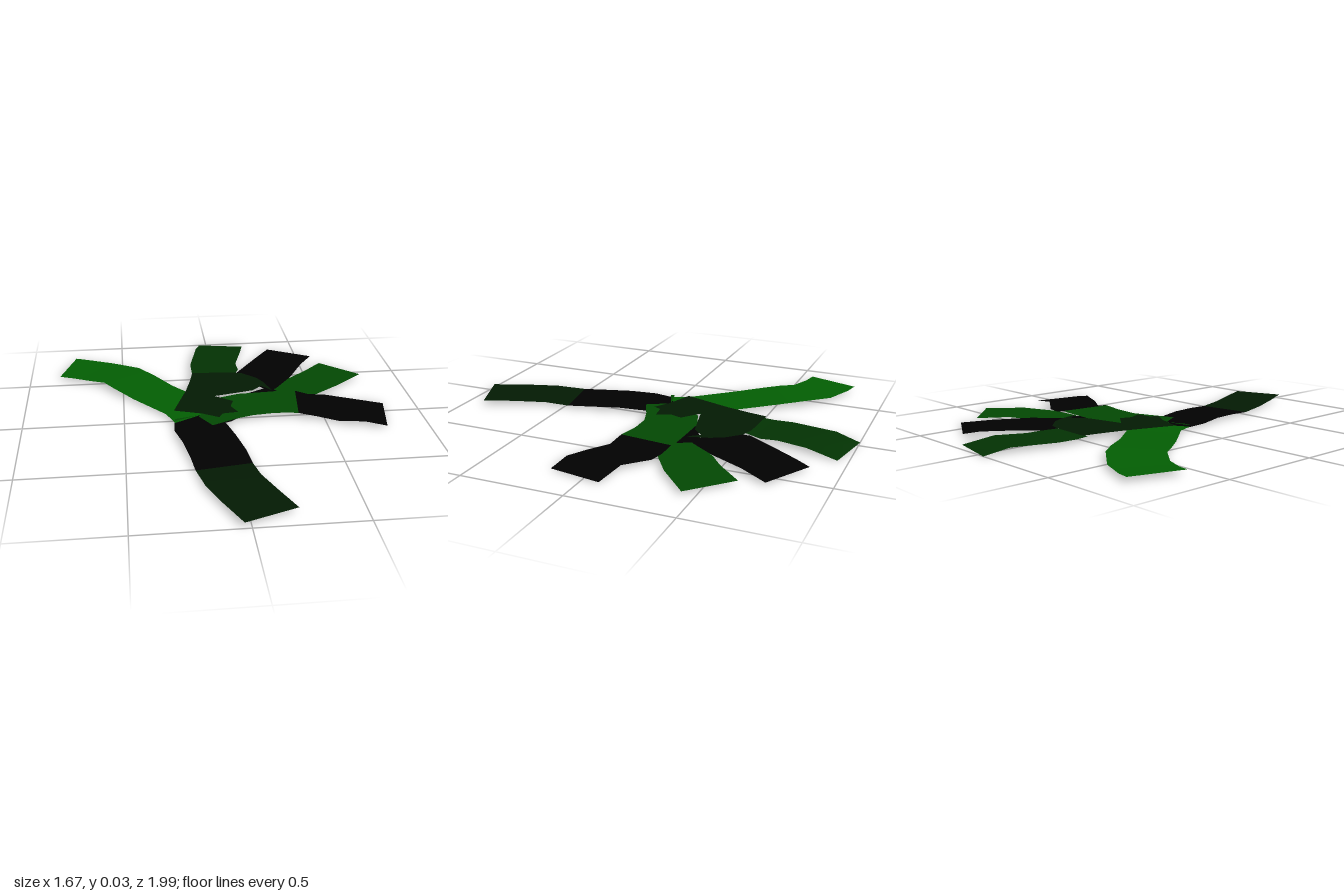
import * as THREE from 'three';

const paint = (name, color) => {
  const m = new THREE.MeshStandardMaterial({ color, side: THREE.DoubleSide });
  m.name = name;
  return m;
};

// Ribbon from cross-sections [leftX, leftZ, rightX, rightZ, y], walked outward
function ribbon(name, material, rows) {
  const pos = [], index = [];
  rows.forEach(([lx, lz, rx, rz, y], i) => {
    pos.push(lx, y, lz, rx, y, rz);
    if (i) {
      const a = 2 * (i - 1);
      index.push(a, a + 1, a + 2, a + 1, a + 3, a + 2);
    }
  });
  const g = new THREE.BufferGeometry();
  g.setAttribute('position', new THREE.Float32BufferAttribute(pos, 3));
  g.setIndex(index);
  g.computeVertexNormals();
  const mesh = new THREE.Mesh(g, material);
  mesh.name = name;
  return mesh;
}

// Flat patch from an outline of [x, z] corners
function patch(name, material, corners, y) {
  const shape = new THREE.Shape(corners.map(([x, z]) => new THREE.Vector2(x, -z)));
  const g = new THREE.ShapeGeometry(shape).rotateX(-Math.PI / 2).translate(0, y, 0);
  const mesh = new THREE.Mesh(g, material);
  mesh.name = name;
  return mesh;
}

export function createModel() {
  const black = paint('black', 0x010101);
  const darkest = paint('darkest green', 0x031a03);
  const dark = paint('dark green', 0x033203);
  const mid = paint('mid green', 0x034803);
  const bright = paint('bright green', 0x035e03);

  const model = new THREE.Group();
  model.name = 'ribbonLeaves';
  model.add(
    // Front strip, black then dark at the tip
    ribbon('frontStrip', black, [
      [-0.06, -0.04, -0.25, -0.01, 0.006],
      [0.0, 0.08, -0.26, 0.13, 0.014],
      [0.03, 0.22, -0.23, 0.26, 0.02],
      [0.06, 0.36, -0.205, 0.40, 0.015],
      [0.075, 0.48, -0.19, 0.52, 0.008],
    ]),
    ribbon('frontTip', darkest, [
      [0.075, 0.48, -0.19, 0.52, 0.008],
      [0.095, 0.60, -0.16, 0.67, 0.016],
      [0.15, 0.75, -0.1, 0.83, 0.02],
      [0.21, 0.90, -0.03, 0.99, 0.022],
    ]),
    // Black strip crossing beneath the hub
    ribbon('underStrip', black, [
      [-0.23, -0.05, -0.06, 0.08, 0.004],
      [-0.08, -0.15, 0.03, 0.04, 0.004],
      [0.10, -0.24, 0.2, -0.1, 0.008],
      [0.28, -0.33, 0.33, -0.23, 0.014],
    ]),
    // Long curved leaf
    ribbon('curvedLeaf', bright, [
      [-0.25, 0.04, -0.04, -0.08, 0.01],
      [-0.29, -0.06, -0.06, -0.18, 0.012],
      [-0.45, -0.25, -0.24, -0.40, 0.016],
      [-0.55, -0.38, -0.33, -0.53, 0.024],
      [-0.60, -0.45, -0.41, -0.63, 0.028],
      [-0.68, -0.51, -0.55, -0.74, 0.016],
      [-0.77, -0.55, -0.69, -0.80, 0.018],
      [-0.84, -0.57, -0.76, -0.82, 0.022],
    ]),
    // Back leaf
    ribbon('backLeaf', dark, [
      [-0.12, -0.49, 0.11, -0.49, 0.022],
      [-0.12, -0.56, 0.14, -0.57, 0.018],
      [-0.12, -0.66, 0.135, -0.65, 0.02],
      [-0.07, -0.88, 0.18, -0.80, 0.025],
      [-0.04, -1.0, 0.21, -0.95, 0],
    ]),
    // Back corner leaf
    ribbon('backCornerLeaf', black, [
      [0.12, -0.46, 0.27, -0.27, 0.018],
      [0.12, -0.52, 0.31, -0.30, 0.016],
      [0.22, -0.66, 0.41, -0.43, 0.02],
      [0.31, -0.79, 0.50, -0.60, 0.02],
      [0.35, -0.86, 0.58, -0.73, 0.012],
    ]),
    // Side corner leaf
    ribbon('sideCornerLeaf', mid, [
      [0.28, -0.29, 0.33, -0.20, 0.012],
      [0.40, -0.43, 0.50, -0.205, 0.012],
      [0.50, -0.50, 0.65, -0.30, 0.02],
      [0.61, -0.62, 0.80, -0.44, 0.014],
    ]),
    // Side leaf, green then black at the tip
    ribbon('sideLeaf', mid, [
      [-0.13, 0.0, -0.07, 0.105, 0.02],
      [-0.02, -0.20, 0.05, 0.05, 0.022],
      [0.10, -0.24, 0.14, 0.02, 0.022],
      [0.25, -0.24, 0.25, 0.015, 0.026],
      [0.34, -0.24, 0.32, 0.025, 0.029],
      [0.40, -0.23, 0.37, 0.035, 0.029],
    ]),
    ribbon('sideTip', black, [
      [0.40, -0.23, 0.37, 0.035, 0.029],
      [0.47, -0.215, 0.46, 0.05, 0.013],
      [0.55, -0.20, 0.56, 0.115, 0.013],
      [0.68, -0.11, 0.68, 0.155, 0.024],
      [0.835, -0.08, 0.79, 0.175, 0.004],
    ]),
    // Torn hub on top of the crossing
    patch('hub', darkest, [
      [-0.25, -0.06], [-0.11, -0.01], [-0.03, 0.04], [-0.01, 0.0], [0.07, -0.01],
      [0.04, -0.08], [0.06, -0.14], [-0.03, -0.21], [0.10, -0.24], [0.18, -0.26],
      [0.23, -0.31], [0.28, -0.25], [0.25, -0.36], [0.22, -0.42], [0.15, -0.49],
      [0.08, -0.51], [-0.12, -0.52], [-0.14, -0.42], [-0.17, -0.30],
    ], 0.03),
    // Small sliver beside the crossing
    patch('sliver', mid, [[-0.25, 0.04], [-0.13, -0.01], [-0.25, 0.02]], 0.022),
  );
  return model;
}
